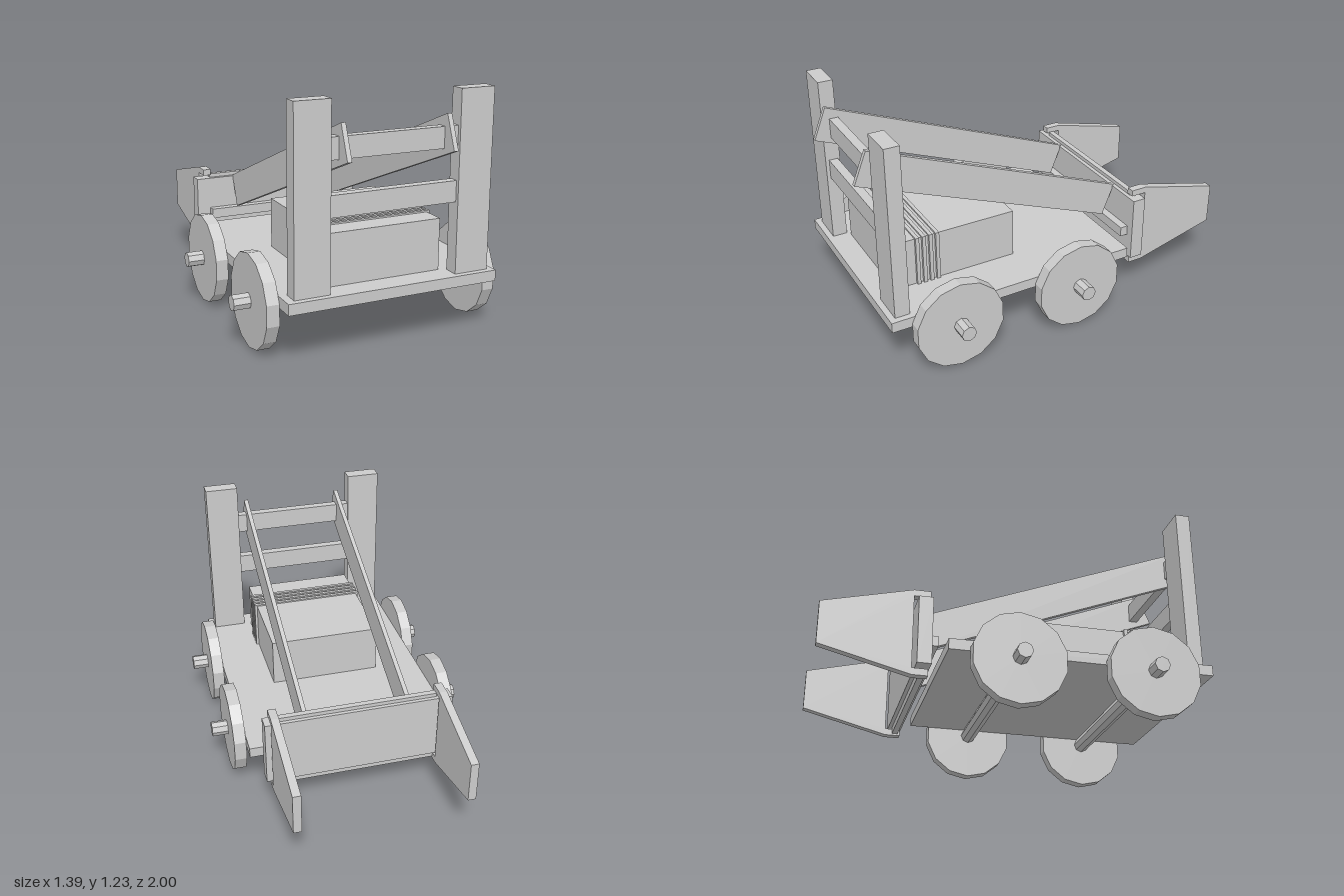
import * as THREE from 'three';

const material = new THREE.MeshStandardMaterial({ color: 0xcccccc, flatShading: true });

export function createModel() {
  const model = new THREE.Group();

  const add = (name, geometry) => {
    const mesh = new THREE.Mesh(geometry, material);
    mesh.name = name;
    model.add(mesh);
    return mesh;
  };

  // Box from its min and max on each axis
  const box = (name, [x0, x1], [y0, y1], [z0, z1]) =>
    add(name, new THREE.BoxGeometry(x1 - x0, y1 - y0, z1 - z0))
      .position.set((x0 + x1) / 2, (y0 + y1) / 2, (z0 + z1) / 2);

  // Side outline of [z, y] points, extruded along x from x0 to x1
  const plate = (name, points, x0, x1) => {
    const shape = new THREE.Shape(points.map(([z, y]) => new THREE.Vector2(-z, y)));
    const geometry = new THREE.ExtrudeGeometry(shape, { depth: x1 - x0, bevelEnabled: false });
    geometry.rotateY(Math.PI / 2).translate(x0, 0, 0);
    return add(name, geometry);
  };

  // Cylinder lying along x
  const roller = (name, radius, length, sides, x, y, z) =>
    add(name, new THREE.CylinderGeometry(radius, radius, length, sides)
      .rotateZ(Math.PI / 2)).position.set(x, y, z);

  // Chassis
  box('deck', [-0.548, 0.548], [0.265, 0.32], [-0.387, 0.965]);

  // Wheels and axles
  for (const z of [0.63, -0.052]) {
    roller('axle', 0.04, 1.392, 8, 0, 0.232, z);
    for (const side of [-1, 1]) {
      const x = side * 0.579;
      // turned so that a flat side rests on the ground
      add('wheel', new THREE.CylinderGeometry(0.236, 0.236, 0.064, 14)
        .rotateY(Math.PI / 2).rotateZ(Math.PI / 2)).position.set(x, 0.231, z);
    }
  }

  // Engine block with cooling ribs
  box('engine', [-0.303, 0.298], [0.32, 0.58], [0.17, 0.842]);
  for (let i = 0; i < 4; i++) {
    const z = 0.604 + i * 0.0363;
    box('engineRib', [-0.318, 0.312], [0.32, 0.588], [z - 0.0095, z + 0.0095]);
  }

  // Front posts and their crossbars
  box('rightPost', [-0.508, -0.327], [0.32, 1.22], [0.856, 0.934]);
  box('leftPost', [0.336, 0.516], [0.32, 1.22], [0.856, 0.934]);
  for (const y of [0.675, 0.94]) {
    box('crossbar', [-0.327, 0.336], [y, y + 0.105], [0.868, 0.915]);
  }

  // Sloping lift arms
  const armOutline = [[1.0, 0.943], [0.933, 1.11], [-0.465, 0.559], [-0.398, 0.392]];
  plate('rightArm', armOutline.slice().reverse(), -0.281, -0.258);
  plate('leftArm', armOutline.slice().reverse(), 0.263, 0.286);
  box('armCrossbar', [-0.422, 0.446], [0.33, 0.383], [-0.455, -0.413]);

  // Scoop: back plate, inner rail and clamped side plates
  box('scoopBack', [-0.495, 0.49], [0.203, 0.555], [-0.527, -0.455]);
  box('scoopRail', [-0.415, 0.42], [0.165, 0.575], [-0.507, -0.477]);
  const sideOutline = [
    [-0.462, 0.605], [-0.545, 0.605], [-0.998, 0.49], [-0.998, 0.27], [-0.545, 0.155],
    [-0.465, 0.155], [-0.465, 0.19], [-0.545, 0.19], [-0.545, 0.572], [-0.462, 0.572],
  ];
  plate('scoopRightSide', sideOutline, -0.455, -0.413);
  plate('scoopLeftSide', sideOutline, 0.42, 0.462);

  return model;
}
